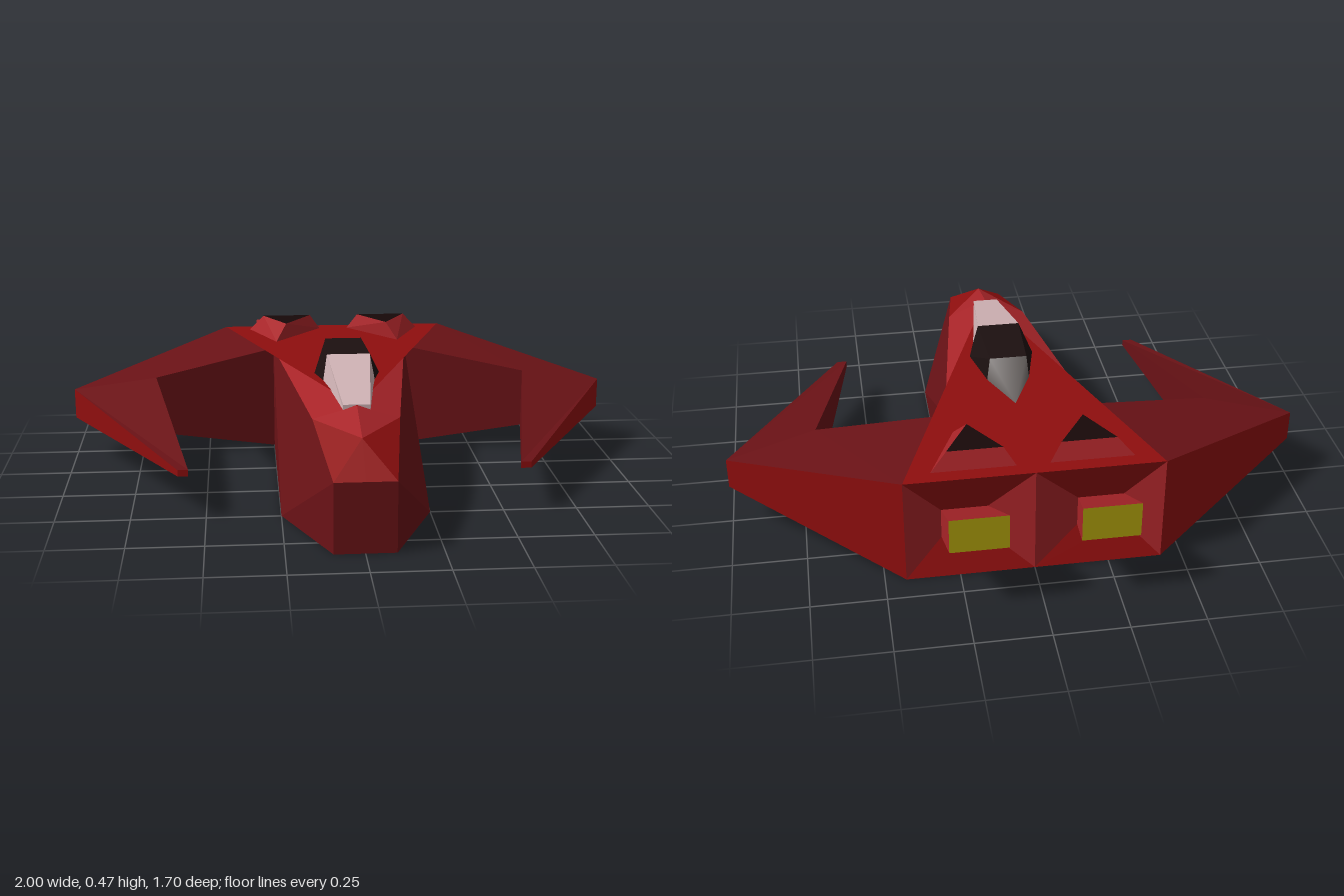
import * as THREE from 'three';

const DARK_RED = 0x6a1216, RED = 0x8f0e0e, BRIGHT_RED = 0xa82428, BLACK = 0x170808;
const GLASS = 0xcfb2b4, DARK_GLASS = 0x1c1010, YELLOW = 0xb3a30c, GREY = 0x6a6462;
const UP = [0, 1, 0], DOWN = [0, -1, 0], OUT = [1, 0, 0], IN = [-1, 0, 0], FRONT = [0, 0, 1], BACK = [0, 0, -1];

// Flat panels: each face is [facing direction, corner, corner, corner, ...]; optional mirror in x
function panels(name, color, faces, mirror = true) {
  const pos = [];
  for (const s of mirror ? [1, -1] : [1]) {
    for (const [facing, ...corners] of faces) {
      const flip = p => new THREE.Vector3(p[0] * s, p[1], p[2]);
      const pts = corners.map(flip), dir = flip(facing);
      for (let i = 1; i + 1 < pts.length; i++) {
        const [a, b, c] = [pts[0], pts[i], pts[i + 1]];
        const n = b.clone().sub(a).cross(c.clone().sub(a));
        for (const v of n.dot(dir) >= 0 ? [a, b, c] : [a, c, b]) pos.push(v.x, v.y, v.z);
      }
    }
  }
  const geo = new THREE.BufferGeometry();
  geo.setAttribute('position', new THREE.Float32BufferAttribute(pos, 3));
  geo.computeVertexNormals();
  const mesh = new THREE.Mesh(geo, new THREE.MeshStandardMaterial({ color, flatShading: true }));
  mesh.name = name;
  return mesh;
}

// Side faces between two matching closed loops, facing away from the loops' centre line
function band(lower, upper) {
  const mid = k => lower.reduce((t, p) => t + p[k], 0) / lower.length;
  return lower.map((p, i) => {
    const j = (i + 1) % lower.length, q = lower[j];
    let nx = q[2] - p[2], nz = p[0] - q[0];
    if (nx * (p[0] - mid(0)) + nz * (p[2] - mid(2)) < 0) { nx = -nx; nz = -nz; }
    return [[nx, 0, nz], p, q, upper[j], upper[i]];
  });
}

export function createModel() {
  const model = new THREE.Group();
  model.name = 'spacecraft';
  const add = (...args) => model.add(panels(...args));

  // Hull corners (left half)
  const noseLow = [0.1, 0, 0.85], noseTop = [0.1, 0.235, 0.85], noseRidge = [0, 0.335, 0.72];
  const cheekLow = [0.25, 0, 0.5], cheekTop = [0.145, 0.335, 0.5], deckTip = [0, 0.385, 0.53];
  const rootLow = [0.25, 0, -0.28], rootTop = [0.25, 0.385, -0.28];
  const sternLow = [0.43, 0, -0.66], sternTop = [0.43, 0.385, -0.66];
  const midLow = [0, 0, -0.66], midTop = [0, 0.385, -0.66];

  add('hullSides', DARK_RED, [
    [FRONT, noseLow, noseTop, [0, 0.235, 0.85], [0, 0, 0.85]],
    [OUT, noseLow, cheekLow, noseTop],
    [OUT, cheekLow, cheekTop, noseTop],
    [OUT, cheekLow, rootLow, rootTop],
    [OUT, cheekLow, rootTop, cheekTop],
  ]);
  add('noseTop', RED, [
    [UP, [0, 0.235, 0.85], noseTop, noseRidge],
    [UP, noseTop, cheekTop, noseRidge],
  ]);
  add('deckBevels', BRIGHT_RED, [
    [UP, cheekTop, rootTop, deckTip],
    [UP, cheekTop, noseRidge, deckTip],
  ]);
  add('deck', RED, [[UP, deckTip, rootTop, sternTop, midTop]]);
  add('hullBottom', BLACK, [[DOWN, [0, 0, 0.85], noseLow, cheekLow, rootLow, sternLow, midLow]]);

  // Wings: a swept root and a forward-pointing blade
  const outLow = [1, 0.14, -0.24], outTop = [1, 0.25, -0.24];
  const elbowLow = [0.69, 0.09, -0.18], elbowTop = [0.69, 0.305, -0.18];
  const tipOutLow = [0.59, 0.148, 0.5], tipOutTop = [0.59, 0.17, 0.5];
  const tipInLow = [0.555, 0.148, 0.5], tipInTop = [0.555, 0.17, 0.5];
  add('wingTops', DARK_RED, [
    [UP, sternTop, outTop, elbowTop, rootTop],
    [UP, outTop, tipOutTop, tipInTop, elbowTop],
    [FRONT, rootLow, elbowLow, elbowTop, rootTop],
    [IN, elbowLow, tipInLow, tipInTop, elbowTop],
  ]);
  add('wingEdges', RED, [
    [BACK, sternLow, outLow, outTop, sternTop],
    [OUT, outLow, tipOutLow, tipOutTop, outTop],
    [FRONT, tipInLow, tipOutLow, tipOutTop, tipInTop],
  ]);
  add('wingBottoms', BLACK, [
    [DOWN, sternLow, outLow, elbowLow, rootLow],
    [DOWN, outLow, tipOutLow, tipInLow, elbowLow],
  ]);

  // Stern: a funnel-shaped recess around each engine
  const [xi, xo, yb, yt, zr] = [0.15, 0.305, 0.125, 0.235, -0.61];
  const a = [xi, yb, zr], b = [xo, yb, zr], c = [xo, yt, zr], d = [xi, yt, zr];
  add('sternRecessSides', BRIGHT_RED, [
    [BACK, sternLow, b, c, sternTop],
    [BACK, midLow, a, d, midTop],
  ]);
  add('sternRecessEdges', RED, [
    [BACK, midLow, sternLow, b, a],
    [BACK, midTop, sternTop, c, d],
    [BACK, a, b, c, d],
  ]);

  // Engines: tilted square ducts with a glowing end
  const base = [a, b, c, d];
  const end = [[0.115, 0.245, -0.85], [0.305, 0.245, -0.85], [0.305, 0.37, -0.85], [0.115, 0.37, -0.85]];
  const sides = [DOWN, OUT, UP, IN];
  add('engines', BRIGHT_RED, sides.map((dir, i) => {
    const j = (i + 1) % 4;
    return [dir, base[i], base[j], end[j], end[i]];
  }));
  add('engineGlow', YELLOW, [[BACK, ...end]]);

  // Triangular deck intakes
  const ventBase = [[0.335, 0.385, -0.61], [0.055, 0.385, -0.61], [0.235, 0.385, -0.385]];
  const ventTop = [[0.28, 0.445, -0.585], [0.095, 0.445, -0.585], [0.195, 0.445, -0.435]];
  add('intakeRims', BRIGHT_RED, band(ventBase, ventTop));
  add('intakeOpenings', BLACK, [[UP, ...ventTop]]);

  // Canopy: windshield, dark cabin, smooth tail
  const glassLow = [0.045, 0.37, 0.52], glassTip = [0.045, 0.387, 0.52];
  const frameLow = [0.09, 0.385, 0.2], frameTop = [0.075, 0.47, 0.17];
  const cabinLow = [0.115, 0.385, 0.1], backLow = [0.075, 0.385, -0.07], backTop = [0.065, 0.47, -0.07];
  const onAxis = p => [0, p[1], p[2]];
  add('windshield', GLASS, [
    [UP, glassTip, frameTop, onAxis(frameTop), onAxis(glassTip)],
    [OUT, glassLow, frameLow, frameTop, glassTip],
    [FRONT, glassLow, glassTip, onAxis(glassTip), onAxis(glassLow)],
  ]);
  add('cabin', DARK_GLASS, [
    [UP, frameTop, backTop, onAxis(backTop), onAxis(frameTop)],
    [OUT, frameLow, cabinLow, frameTop],
    [OUT, cabinLow, backTop, frameTop],
    [OUT, cabinLow, backLow, backTop],
  ]);

  const tailGeo = new THREE.BufferGeometry();
  const ring = [backLow, backTop, [-0.065, 0.47, -0.07], [-0.075, 0.385, -0.07]];
  tailGeo.setAttribute('position', new THREE.Float32BufferAttribute([...ring.flat(), 0, 0.385, -0.24], 3));
  tailGeo.setIndex([0, 4, 1, 1, 4, 2, 2, 4, 3]);
  tailGeo.computeVertexNormals();
  const tail = new THREE.Mesh(tailGeo, new THREE.MeshStandardMaterial({ color: GREY, side: THREE.DoubleSide }));
  tail.name = 'canopyTail';
  model.add(tail);

  return model;
}
